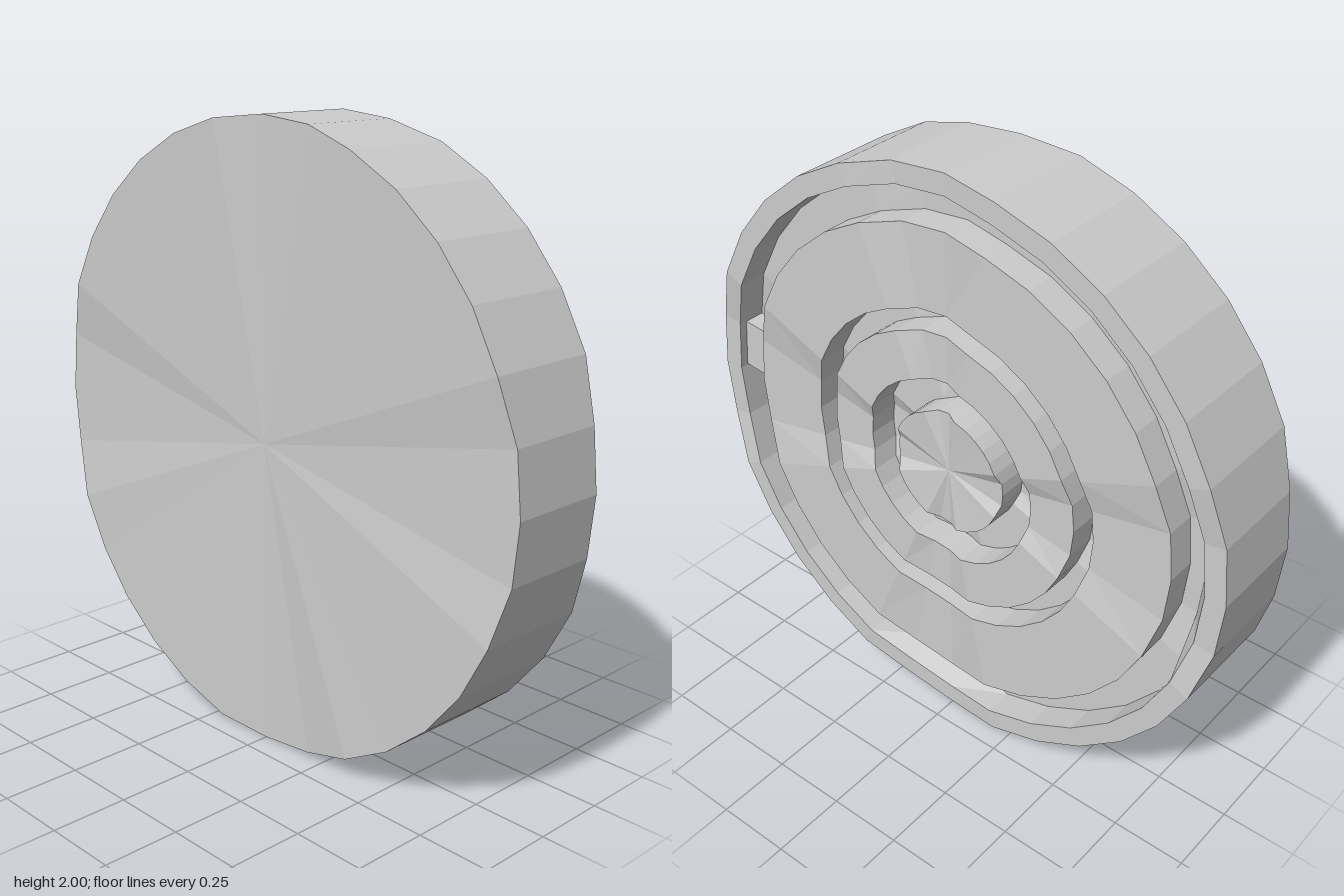
import * as THREE from 'three';

const SIDES = 32;
// spokes (counted from the front, going up) where the faces dip slightly
const DENTS = new Set([31, 0, 1, 7, 8, 15, 16, 17, 24, 25]);
// spokes where the outer groove wall leans inward at its foot
const LEANS = new Set([7, 8, 15, 16, 17, 24, 25]);
const DIP = 0.022;

const material = new THREE.MeshStandardMaterial({ color: 0xcccccc, flatShading: true });

// Ring-shaped skin around the x axis; profile points are [radius, x, lean]
function band(name, profile) {
  const pos = [], index = [], n = profile.length;
  for (let i = 0; i <= SIDES; i++) {
    const k = i % SIDES, a = (k / SIDES) * Math.PI * 2;
    for (const [r, x, lean = 0] of profile) {
      const radius = r - (LEANS.has(k) ? lean : 0);
      const dip = r > 0 && DENTS.has(k) ? DIP * Math.sign(x) : 0;
      pos.push(x - dip, 1 + radius * Math.sin(a), radius * Math.cos(a));
    }
  }
  for (let i = 0; i < SIDES; i++) {
    for (let j = 0; j < n - 1; j++) {
      const a = i * n + j, b = a + 1, c = a + n, d = c + 1;
      if (profile[j][0] > 0) index.push(a, b, c);
      if (profile[j + 1][0] > 0) index.push(b, d, c);
      else if (profile[j][0] > 0 && index.length === 0) index.push(a, b, c);
    }
  }
  const g = new THREE.BufferGeometry();
  g.setAttribute('position', new THREE.Float32BufferAttribute(pos, 3));
  g.setIndex(index);
  g.computeVertexNormals();
  const mesh = new THREE.Mesh(g, material);
  mesh.name = name;
  return mesh;
}

export function createModel() {
  const group = new THREE.Group();
  group.name = 'disc';
  const top = 0.19, floor = 0.09;

  group.add(
    band('backFace', [[0, -0.168], [1, -top]]),
    band('outerWall', [[1, -top], [1, top]]),
    band('rimLip', [[1, top], [0.93, top]]),
    band('outerGroove', [[0.93, top], [0.93, floor, 0.055], [0.82, floor]]),
    band('outerRing', [[0.82, floor], [0.82, top], [0.55, top]]),
    band('middleGroove', [[0.55, top], [0.55, floor], [0.48, floor]]),
    band('innerRing', [[0.48, floor], [0.48, top], [0.32, top]]),
    band('hubGroove', [[0.32, top], [0.32, floor], [0.21, floor]]),
    band('hub', [[0.21, floor], [0.21, 0.185], [0, 0.168]]),
  );

  // small block bridging the outer groove at the front
  const bridge = new THREE.Mesh(new THREE.BoxGeometry(0.08, 0.175, 0.11), material);
  bridge.name = 'grooveBridge';
  const a = Math.PI / SIDES;
  bridge.position.set(0.1, 1 + 0.87 * Math.sin(a), 0.87 * Math.cos(a));
  bridge.rotation.x = -a;
  group.add(bridge);

  return group;
}
